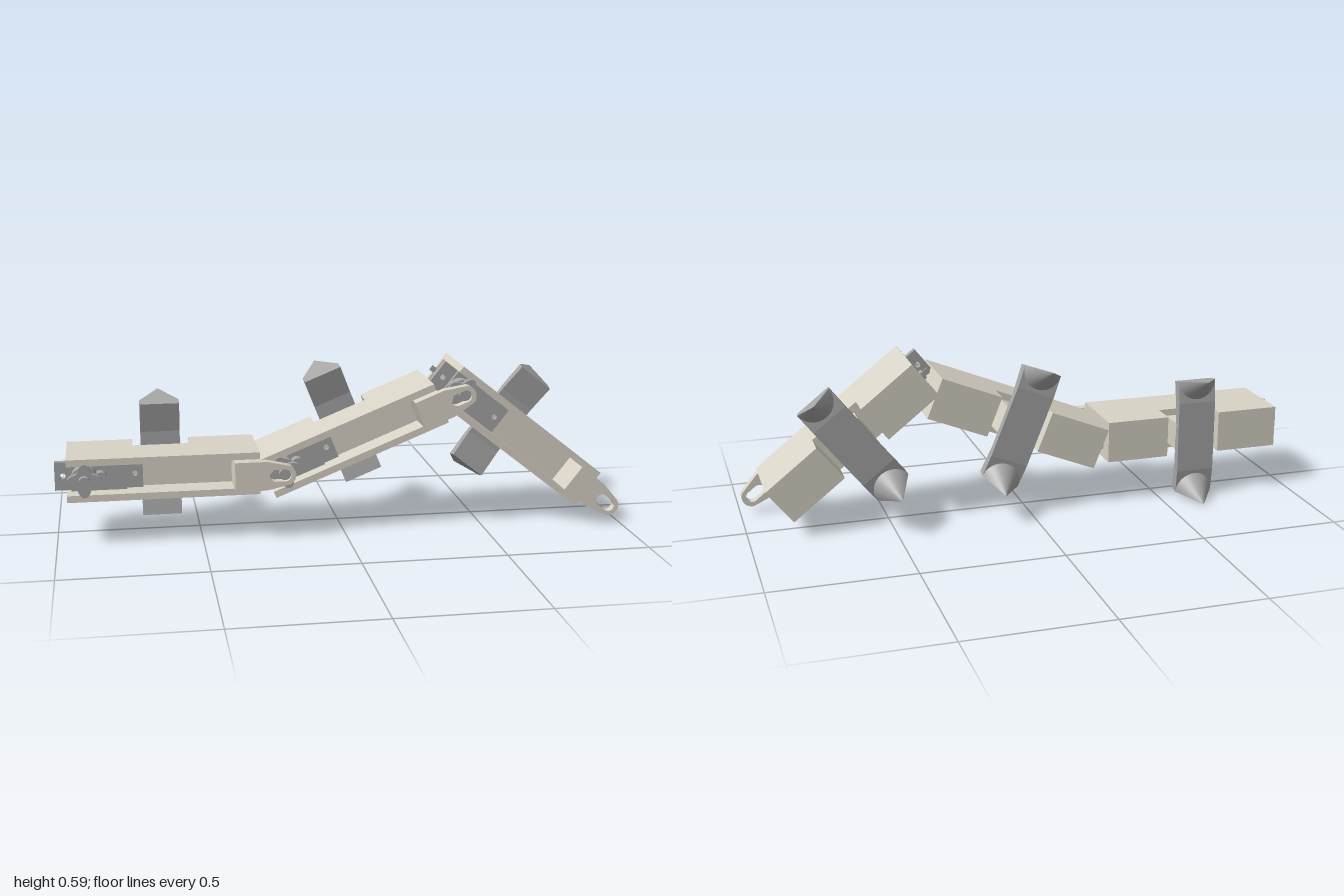
import * as THREE from 'three';
import { toCreasedNormals } from 'three/addons/utils/BufferGeometryUtils.js';

const shell = new THREE.MeshStandardMaterial({ color: 0xd8d3c6 });
const grey = new THREE.MeshStandardMaterial({ color: 0xa6a6a6 });

function add(parent, name, geometry, material, x = 0, y = 0, z = 0) {
  const mesh = new THREE.Mesh(geometry, material);
  mesh.name = name;
  mesh.position.set(x, y, z);
  parent.add(mesh);
  return mesh;
}

// Box given by its min and max corners
function block(parent, name, material, [x0, x1], [y0, y1], [z0, z1]) {
  return add(parent, name, new THREE.BoxGeometry(x1 - x0, y1 - y0, z1 - z0), material,
    (x0 + x1) / 2, (y0 + y1) / 2, (z0 + z1) / 2);
}

function pin(parent, name, material, r, z0, z1, x = 0, y = 0) {
  const g = new THREE.CylinderGeometry(r, r, z1 - z0, 28).rotateX(Math.PI / 2);
  return add(parent, name, g, material, x, y, (z0 + z1) / 2);
}

const polygon = (points) => new THREE.Shape(points.map(([x, y]) => new THREE.Vector2(x, y)));
const extrude = (shape, depth) =>
  new THREE.ExtrudeGeometry(shape, { depth, bevelEnabled: false, curveSegments: 16 });

// Extrudes an (x, z) outline upward between y0 and y1
function slab(points, y0, y1) {
  return extrude(polygon(points.map(([x, z]) => [x, -z])), y1 - y0)
    .rotateX(-Math.PI / 2).translate(0, y0, 0);
}

// Channel housing: notched top and bottom plates around a recessed core
function addHousing(seg) {
  const back = [[0.6, -0.09], [0.37, -0.09], [0.37, 0], [0.17, 0], [0.17, -0.09], [-0.06, -0.09]];
  const plate = [...back, [-0.06, 0.17], [0.6, 0.17]];
  add(seg, 'topPlate', slab(plate, 0.051, 0.075), shell);
  add(seg, 'bottomPlate', slab(plate, -0.075, -0.051), shell);
  const core = [...back, [-0.06, -0.07], [0.145, -0.07], [0.145, 0.075], [0.6, 0.075]];
  add(seg, 'core', slab(core, -0.051, 0.051), shell);
  block(seg, 'endWall', shell, [0.51, 0.6], [-0.051, 0.051], [0.075, 0.18]);
  block(seg, 'legNeck', shell, [0.2, 0.34], [-0.05, 0.05], [-0.095, 0.001]);
}

// Motor with mounting ears, gear boss and lobed horn
function addMotor(seg) {
  const motor = new THREE.Group();
  motor.name = 'motor';
  seg.add(motor);
  block(motor, 'motorBody', grey, [-0.045, 0.144], [-0.05, 0.05], [-0.068, 0.115]);
  for (const [side, x0, x1] of [['rear', -0.101, -0.045], ['front', 0.144, 0.2]]) {
    const ear = polygon([[x0, -0.05], [x1, -0.05], [x1, 0.05], [x0, 0.05]]);
    ear.holes.push(new THREE.Path().absarc((x0 + x1) / 2, 0, 0.01, 0, Math.PI * 2, true));
    add(motor, side + 'Ear', extrude(ear, 0.022), grey, 0, 0, 0.076);
  }
  pin(motor, 'gearBoss', grey, 0.045, 0.115, 0.158);
  pin(motor, 'idlerBoss', grey, 0.022, 0.115, 0.15, 0.055);
  const lobes = [];
  for (let i = 0; i < 48; i++) {
    const a = (i / 48) * Math.PI * 2;
    const r = 0.048 + 0.011 * Math.cos(4 * a);
    lobes.push([r * Math.cos(a), r * Math.sin(a)]);
  }
  add(motor, 'horn', extrude(polygon(lobes), 0.021), grey, 0, 0, 0.157);
  pin(motor, 'shaft', grey, 0.02, 0.17, 0.2);
  // Cable plug on the rear face
  block(motor, 'plug', grey, [-0.07, -0.045], [-0.014, 0.014], [-0.045, -0.015]);
  block(motor, 'plugTab', grey, [-0.09, -0.07], [-0.01, 0.01], [-0.034, -0.028]);
}

// Tapered coupling arm with a slot for the next shaft
function addLink(seg) {
  const s = new THREE.Shape();
  s.moveTo(0.51, -0.051);
  s.lineTo(0.62, -0.051);
  s.lineTo(0.7, -0.033);
  s.absarc(0.684, 0, 0.037, -1.13, 1.13, false);
  s.lineTo(0.62, 0.051);
  s.lineTo(0.51, 0.051);
  const slot = new THREE.Path();
  slot.absarc(0.684, 0, 0.021, Math.PI / 2, -Math.PI / 2, true);
  slot.absarc(0.65, 0, 0.021, -Math.PI / 2, -Math.PI * 1.5, true);
  s.holes.push(slot);
  add(seg, 'couplingArm', toCreasedNormals(extrude(s, 0.032), 0.5), shell, 0, 0, 0.18);
}

// Half cone whose flat side faces outward
function spikeGeometry() {
  const n = 16, r = 0.07, pos = [], idx = [];
  for (let i = 0; i <= n; i++) {
    const a = (i / n) * Math.PI;
    pos.push(r * Math.cos(a), 0.212 - r * Math.sin(a), -0.107 - 0.008 * Math.sin(a));
  }
  pos.push(0, 0.232, -0.21);
  for (let i = 0; i < n; i++) idx.push(i, i + 1, n + 1);
  idx.push(n, 0, n + 1);
  const g = new THREE.BufferGeometry();
  g.setAttribute('position', new THREE.Float32BufferAttribute(pos, 3));
  g.setIndex(idx);
  return toCreasedNormals(g, 0.7);
}

// Crossbar leg with flared ends and a spike at each end
function addLeg(seg) {
  const leg = new THREE.Group();
  leg.name = 'leg';
  leg.position.x = 0.27;
  seg.add(leg);
  const bar = polygon([[-0.07, 0.205], [-0.107, 0.212], [-0.118, 0.13], [-0.118, -0.13],
    [-0.107, -0.212], [-0.07, -0.205], [-0.09, -0.1], [-0.09, 0.1]]);
  add(leg, 'crossbar', extrude(bar, 0.14).rotateY(-Math.PI / 2).translate(0.07, 0, 0), grey);
  const spike = spikeGeometry();
  add(leg, 'upperSpike', spike, grey);
  add(leg, 'lowerSpike', spike, grey).rotation.z = Math.PI;
}

export function createModel() {
  const model = new THREE.Group();
  model.name = 'segmentedCrawler';
  // Each segment turns about the shaft at its own origin
  const joints = [
    ['rightSegment', -0.899, 0.233, 0],
    ['middleSegment', -0.215, 0.233, 0.383],
    ['leftSegment', 0.42, 0.49, -0.668],
  ];
  for (const [name, x, y, angle] of joints) {
    const seg = new THREE.Group();
    seg.name = name;
    seg.position.set(x, y, 0);
    seg.rotation.z = angle;
    addHousing(seg);
    addMotor(seg);
    addLink(seg);
    addLeg(seg);
    model.add(seg);
  }
  return model;
}
